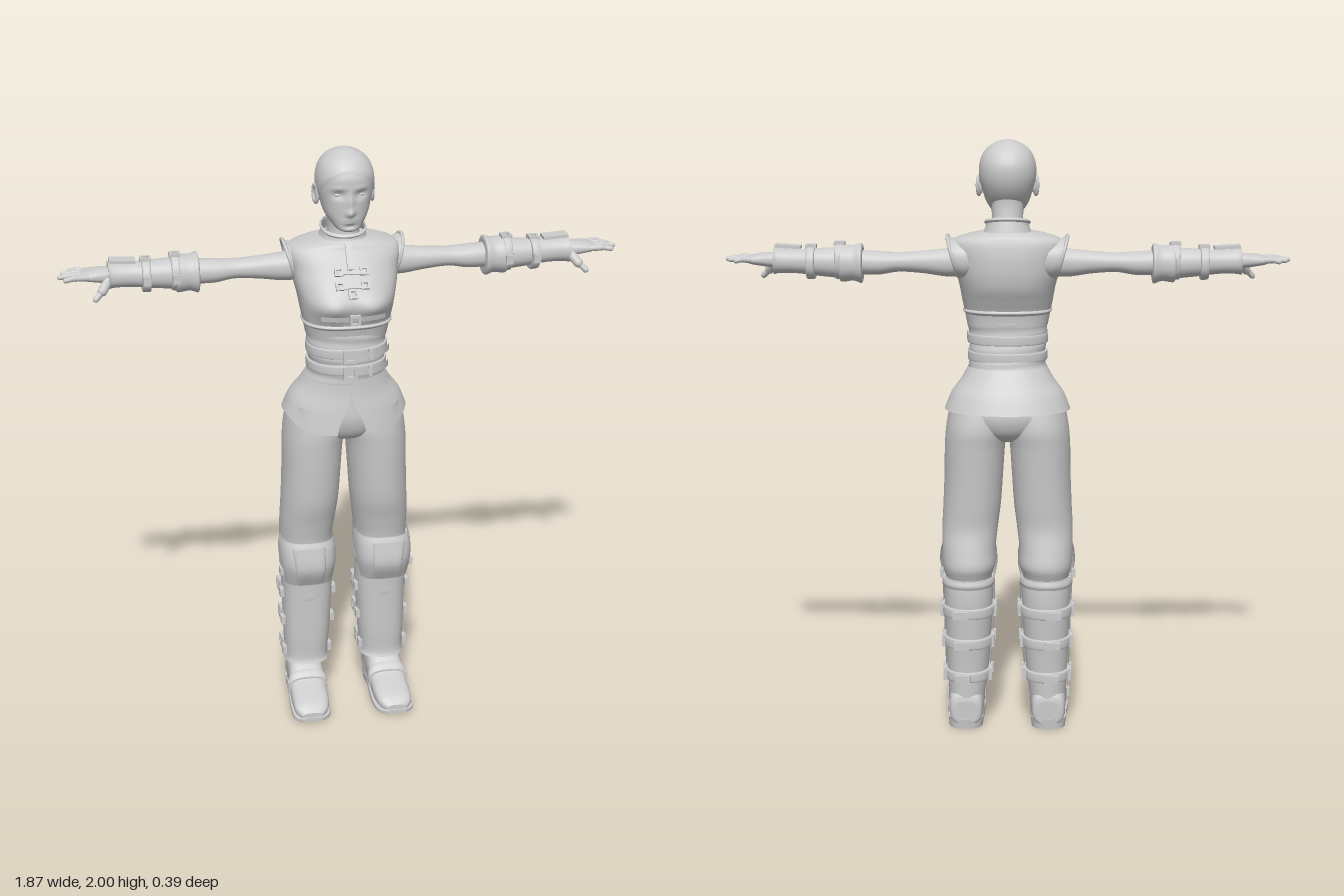
import * as THREE from 'three';
import { mergeVertices } from 'three/addons/utils/BufferGeometryUtils.js';

const grey = new THREE.MeshStandardMaterial({ color: 0xcccccc, side: THREE.DoubleSide });
grey.name = 'plain grey';

const { sin, cos, abs, sign, PI } = Math;
const bump = (x, y, cx, cy, sx, sy, h) => h * Math.exp(-(((x - cx) / sx) ** 2) - ((y - cy) / sy) ** 2);
const smooth = THREE.MathUtils.smoothstep;

// Smooth blend through rows of numbers
function sample(rows, t) {
  const n = rows.length - 1, i = Math.min(Math.floor(t * n), n - 1), f = t * n - i;
  const r = k => rows[Math.max(0, Math.min(n, k))];
  return rows[0].map((_, c) => {
    const [a, b, d, e] = [r(i - 1)[c], r(i)[c], r(i + 1)[c], r(i + 2)[c]];
    return b + 0.5 * f * (d - a + f * (2 * a - 5 * b + 4 * d - e + f * (3 * (b - d) + e - a)));
  });
}

// Skin over oval cross-sections. Row: [position along axis, min1, max1, min2, max2]
// Axis y uses (x, z), axis x uses (z, y), axis z uses (y, x). arc(v) gives an open angle range.
function loft(rows, { axis = 'y', pow = 2.2, seg = 36, steps = 6, arc = null, cap = true, shape = null } = {}) {
  if (rows[0][0] > rows[rows.length - 1][0]) rows = [...rows].reverse();
  const nv = (rows.length - 1) * steps, cols = arc ? seg + 1 : seg, pos = [], idx = [];
  const place = { y: (t, a, b) => [a, t, b], x: (t, a, b) => [t, b, a], z: (t, a, b) => [b, a, t] }[axis];
  const e = 2 / pow;
  for (let i = 0; i <= nv; i++) {
    const v = i / nv, [t, a0, a1, b0, b1] = sample(rows, v);
    const [s0, s1] = arc ? arc(v) : [0, 2 * PI];
    for (let j = 0; j < cols; j++) {
      const q = s0 + (s1 - s0) * j / seg, c = cos(q), s = sin(q);
      const p = place(t, (a0 + a1) / 2 + (a1 - a0) / 2 * sign(c) * abs(c) ** e,
        (b0 + b1) / 2 + (b1 - b0) / 2 * sign(s) * abs(s) ** e);
      pos.push(...(shape ? shape(p, v, q) : p));
    }
  }
  for (let i = 0; i < nv; i++) for (let j = 0; j < seg; j++) {
    const k = (j + 1) % cols, a = i * cols + j, b = i * cols + k;
    idx.push(a, a + cols, b, b, a + cols, b + cols);
  }
  if (cap && !arc) for (const top of [0, 1]) {
    const from = top * nv * cols, base = pos.length / 3, mid = [0, 0, 0];
    for (let j = 0; j < cols; j++) for (let k = 0; k < 3; k++) {
      pos.push(pos[(from + j) * 3 + k]);
      mid[k] += pos[(from + j) * 3 + k] / cols;
    }
    pos.push(...mid);
    for (let j = 0; j < cols; j++) {
      const k = (j + 1) % cols;
      idx.push(base + cols, ...(top ? [base + k, base + j] : [base + j, base + k]));
    }
  }
  const g = new THREE.BufferGeometry();
  g.setAttribute('position', new THREE.Float32BufferAttribute(pos, 3));
  g.setIndex(idx);
  g.computeVertexNormals();
  return g;
}

const box = (w, h, d, x, y, z) => new THREE.BoxGeometry(w, h, d).translate(x, y, z);
const ball = (x, y, z, sx, sy, sz) => new THREE.SphereGeometry(1, 20, 14).scale(sx, sy, sz).translate(x, y, z);

// Square buckle frame facing +z
function buckle(w, h, d = 0.012) {
  const s = new THREE.Shape([[-w, -h], [w, -h], [w, h], [-w, h]].map(p => new THREE.Vector2(p[0] / 2, p[1] / 2)));
  s.holes.push(new THREE.Path([[-w, -h], [-w, h], [w, h], [w, -h]].map(p => new THREE.Vector2(p[0] * 0.28, p[1] * 0.28))));
  return new THREE.ExtrudeGeometry(s, { depth: d, bevelEnabled: false });
}

// Rounded rod between two points
function rod(a, b, r) {
  const A = new THREE.Vector3(...a), B = new THREE.Vector3(...b), d = B.clone().sub(A);
  const q = new THREE.Quaternion().setFromUnitVectors(new THREE.Vector3(0, 1, 0), d.clone().normalize());
  return new THREE.CapsuleGeometry(r, d.length(), 5, 12).applyQuaternion(q).translate(...A.add(B).multiplyScalar(0.5).toArray());
}

function mirrored(geo) {
  const g = (geo.index ? geo.clone() : mergeVertices(geo)).scale(-1, 1, 1), a = g.index.array;
  for (let i = 0; i < a.length; i += 3) [a[i], a[i + 1]] = [a[i + 1], a[i]];
  return g;
}

export function createModel() {
  const root = new THREE.Group();
  root.name = 'figure';
  const add = (name, g) => { const m = new THREE.Mesh(g, grey); m.name = name; root.add(m); };
  const pair = (name, g) => { add('left ' + name, g); add('right ' + name, mirrored(g)); };
  const sym = (y, w, b, f) => [y, -w, w, b, f];

  // Head with nose, eye sockets, lips and close-cropped hair
  const head = [sym(1.742, 0.02, 0.03, 0.075), sym(1.75, 0.038, 0, 0.087), sym(1.77, 0.056, -0.045, 0.089),
    sym(1.80, 0.073, -0.08, 0.09), sym(1.84, 0.084, -0.108, 0.092), sym(1.88, 0.092, -0.121, 0.094),
    sym(1.92, 0.091, -0.121, 0.094), sym(1.955, 0.079, -0.105, 0.077), sym(1.98, 0.056, -0.08, 0.052),
    sym(1.995, 0.027, -0.045, 0.02), sym(2.0, 0.003, -0.016, -0.008)];
  add('head', loft(head, { seg: 72, shape: ([x, y, z]) => {
    if (z > 0.02) z += bump(x, y, 0, 1.808, 0.014, 0.013, 0.016) + bump(x, y, 0, 1.84, 0.01, 0.032, 0.012)
      - bump(abs(x), y, 0.036, 1.868, 0.02, 0.013, 0.011) + bump(x, y, 0, 1.786, 0.02, 0.005, 0.006)
      + bump(x, y, 0, 1.776, 0.016, 0.004, 0.006) - bump(x, y, 0, 1.763, 0.02, 0.006, 0.005)
      + bump(abs(x), y, 0.036, 1.889, 0.025, 0.006, 0.004);
    const hair = 1 + 0.025 * smooth(y - z * 0.9 + abs(x) * 0.2, 1.863, 1.872) * smooth(y, 1.79, 1.81);
    return [x * hair, Math.min(y, 2), z * hair];
  } }));
  pair('eye', ball(0.036, 1.866, 0.068, 0.016, 0.008, 0.011));
  pair('ear', new THREE.TorusGeometry(0.017, 0.006, 8, 20).scale(1, 1.6, 1).rotateY(PI / 2 - 0.3).translate(0.094, 1.85, -0.02));
  pair('ear lobe', ball(0.088, 1.845, -0.018, 0.008, 0.022, 0.013));
  add('neck', loft([sym(1.66, 0.065, -0.11, 0.03), sym(1.72, 0.053, -0.1, 0.02), sym(1.78, 0.052, -0.09, 0.02), sym(1.82, 0.05, -0.09, 0.01)]));
  const lean = ([x, y, z]) => [x, y - z * 0.2 - 0.005, z];
  add('collar', loft([sym(1.685, 0.085, -0.125, 0.055), sym(1.71, 0.074, -0.118, 0.042), sym(1.73, 0.07, -0.112, 0.036)], { cap: false, shape: lean }));
  add('collar rim', loft([sym(1.721, 0.072, -0.114, 0.038), sym(1.728, 0.077, -0.119, 0.043), sym(1.735, 0.071, -0.113, 0.037)], { cap: false, shape: lean }));

  // Sleeveless vest
  const vest = [sym(1.385, 0.135, -0.095, 0.115), sym(1.43, 0.144, -0.1, 0.125), sym(1.47, 0.152, -0.118, 0.138),
    sym(1.515, 0.16, -0.14, 0.148), sym(1.56, 0.17, -0.15, 0.132), sym(1.61, 0.178, -0.152, 0.102),
    sym(1.65, 0.187, -0.148, 0.078), sym(1.675, 0.178, -0.142, 0.062), sym(1.69, 0.14, -0.135, 0.054), sym(1.702, 0.085, -0.12, 0.04)];
  add('vest', loft(vest, { pow: 2.5, seg: 64, shape: ([x, y, z]) =>
    [x, y, z > 0 ? z + bump(abs(x), y, 0.07, 1.505, 0.055, 0.04, 0.022) : z] }));
  add('vest hem', loft([sym(1.425, 0.142, -0.102, 0.13), sym(1.433, 0.15, -0.109, 0.138), sym(1.441, 0.145, -0.106, 0.134)], { pow: 2.5, cap: false }));
  pair('shoulder wing', loft([[0.14, -0.13, 0.02, 1.55, 1.675], [0.17, -0.13, 0.02, 1.545, 1.678], [0.193, -0.128, 0.018, 1.55, 1.69]],
    { axis: 'x', cap: false, shape: ([x, y, z]) => [x + (y - 1.66) * 0.28, y, z] }));
  pair('armhole rim', new THREE.TorusGeometry(0.071, 0.006, 8, 36).rotateY(PI / 2).rotateZ(-0.27).translate(0.18, 1.62, -0.055));

  // Chest fastenings
  add('neck strap', box(0.022, 0.09, 0.008, 0, 0, 0).rotateX(-0.6).translate(0, 1.66, 0.077));
  for (const [y, z] of [[1.615, 0.103], [1.575, 0.128]]) {
    add('clasp bar', box(0.09, 0.012, 0.008, 0, 0, 0).rotateX(-0.55).translate(0, y, z + 0.004));
    pair('clasp', buckle(0.026, 0.026).rotateX(-0.55).translate(0.042, y, z - 0.002));
  }
  add('clasp centre', buckle(0.03, 0.03).rotateX(-0.55).translate(0, 1.55, 0.138));
  add('bust strap', loft([sym(1.466, 0.155, -0.12, 0.152), sym(1.484, 0.157, -0.125, 0.156)],
    { pow: 2.5, arc: () => [0.9, PI - 0.9], shape: ([x, y, z]) => [x, y, z + 0.012] }));
  add('bust buckle', buckle(0.035, 0.035).translate(0, 1.475, 0.17));

  // Wrapped waist and belts
  add('waist wrap', loft([sym(1.225, 0.138, -0.122, 0.108), sym(1.26, 0.128, -0.11, 0.112), sym(1.31, 0.128, -0.098, 0.117),
    sym(1.35, 0.131, -0.094, 0.12), sym(1.4, 0.136, -0.096, 0.12)], { steps: 10, shape: ([x, y, z]) => {
    const k = 1 + 0.012 * sin(y * 150 + x * 8);
    return [x * k, y, z * k];
  } }));
  for (const [y, w, b, f] of [[1.34, 0.136, -0.1, 0.13], [1.282, 0.134, -0.108, 0.126]]) {
    add('belt', loft([sym(y - 0.016, w - 0.005, b + 0.004, f - 0.004), sym(y - 0.013, w, b, f), sym(y + 0.013, w, b, f), sym(y + 0.016, w - 0.005, b + 0.004, f - 0.004)]));
    add('belt tail', loft([sym(y - 0.011, w + 0.006, b, f + 0.016), sym(y + 0.011, w + 0.006, b, f + 0.016)], { arc: () => [0.25, 1.7] }));
    add('belt buckle', buckle(0.045, 0.045).translate(-0.01, y, f + 0.012));
    add('belt loop', box(0.012, 0.036, 0.012, 0.06, y, f + 0.004));
  }

  // Flared skirt of the vest, split at the front
  add('skirt', loft([sym(1.245, 0.132, -0.115, 0.108), sym(1.2, 0.155, -0.14, 0.112), sym(1.15, 0.188, -0.168, 0.122), sym(1.09, 0.211, -0.192, 0.132)],
    { seg: 72, arc: v => { const gap = 0.2 * smooth(1 - v, 0.3, 1) + 0.002; return [PI / 2 + gap, PI * 2.5 - gap]; },
      shape: ([x, y, z], v) => [x, y + (1 - v) * (0.015 - 0.05 * smooth(z, 0.0, 0.13)), z] }));

  // Trousers
  add('hips', loft([sym(1.24, 0.128, -0.11, 0.1), sym(1.16, 0.168, -0.152, 0.105), sym(1.09, 0.19, -0.17, 0.108), sym(1.03, 0.13, -0.15, 0.085), sym(1.0, 0.05, -0.1, 0.03)]));
  pair('trouser leg', loft([[1.14, 0.0, 0.19, -0.15, 0.095], [1.05, -0.002, 0.206, -0.168, 0.104], [0.98, 0.008, 0.212, -0.163, 0.102],
    [0.88, 0.015, 0.214, -0.155, 0.096], [0.78, 0.022, 0.218, -0.148, 0.086], [0.7, 0.032, 0.222, -0.144, 0.066], [0.63, 0.04, 0.222, -0.158, 0.052],
    [0.575, 0.04, 0.22, -0.168, 0.05], [0.54, 0.05, 0.213, -0.158, 0.042], [0.5, 0.06, 0.2, -0.14, 0.03]]));

  // Tall boots with shin plates and straps
  const shin = [[0.53, 0.052, 0.215, -0.157, 0.035], [0.45, 0.05, 0.214, -0.16, 0.03], [0.32, 0.056, 0.21, -0.15, 0.025],
    [0.2, 0.065, 0.206, -0.14, 0.018], [0.1, 0.078, 0.2, -0.138, 0.008], [0.03, 0.078, 0.2, -0.138, 0.0]];
  const grow = (r, d) => [r[0], r[1] - d, r[2] + d, r[3] - d, r[4] + d];
  pair('boot shaft', loft(shin));
  pair('boot cuff', loft([[0.5, 0.046, 0.22, -0.163, 0.04], [0.512, 0.043, 0.223, -0.167, 0.043], [0.526, 0.047, 0.22, -0.163, 0.04]]));
  pair('shin plate', loft([[0.5, 0.042, 0.222, -0.15, 0.042], [0.4, 0.044, 0.218, -0.145, 0.038], [0.25, 0.053, 0.214, -0.135, 0.034],
    [0.17, 0.06, 0.211, -0.13, 0.03], [0.145, 0.056, 0.215, -0.132, 0.036]], { pow: 2.6, arc: () => [0, PI] }));
  pair('knee guard', loft([[0.47, 0.045, 0.221, -0.12, 0.06], [0.54, 0.036, 0.23, -0.13, 0.086], [0.6, 0.036, 0.23, -0.135, 0.082], [0.635, 0.042, 0.222, -0.14, 0.07]],
    { pow: 2.8, arc: v => { const a = 0.45 - 0.5 * smooth(v, 0, 0.6); return [a, PI - a]; } }));
  pair('knee panel', loft([[0.475, 0.085, 0.19, 0.0, 0.064], [0.54, 0.08, 0.19, 0.0, 0.093], [0.62, 0.08, 0.2, 0.0, 0.084]], { pow: 5, arc: () => [0.5, PI - 0.5] }));
  pair('knee stud', box(0.012, 0.028, 0.028, 0.228, 0.515, 0.015));
  for (const [y, k] of [[0.415, 1.27], [0.305, 2.12], [0.185, 3.12]]) {
    const r = sample(shin, k / 5 > 1 ? 1 : 1 - k / 5 < 0 ? 0 : k / 5), ring = (dy, d) => { const q = grow(r, d); q[0] = y + dy; return q; };
    pair('leg strap', loft([ring(-0.017, 0.004), ring(-0.014, 0.01), ring(0.014, 0.01), ring(0.017, 0.004)]));
    for (const [x, s] of [[r[2], 1], [r[1], -1]]) {
      pair('strap stud', box(0.014, 0.03, 0.03, x + s * 0.01, y, -0.02));
      pair('strap buckle', buckle(0.04, 0.042).rotateY(s * PI / 2).translate(x + s * 0.002, y, -0.085));
    }
    pair('strap tail', box(0.05, 0.024, 0.03, r[2] - 0.055, y, r[3] - 0.008));
  }

  // Feet
  pair('foot', loft([[-0.14, 0.02, 0.1, 0.1, 0.18], [-0.125, 0.01, 0.13, 0.085, 0.197], [-0.05, 0.012, 0.16, 0.08, 0.202], [0.005, 0.012, 0.145, 0.08, 0.205],
    [0.06, 0.01, 0.1, 0.08, 0.209], [0.12, 0.008, 0.077, 0.082, 0.21], [0.165, 0.01, 0.058, 0.092, 0.206], [0.19, 0.012, 0.036, 0.115, 0.185]], { axis: 'z', pow: 2.8 }));
  pair('sole', loft([[-0.02, 0.006, 0.026, 0.085, 0.203], [0.04, 0, 0.022, 0.08, 0.21], [0.12, 0, 0.02, 0.078, 0.214], [0.17, 0.002, 0.02, 0.088, 0.21], [0.196, 0.005, 0.02, 0.118, 0.182]], { axis: 'z', pow: 6 }));
  pair('heel', loft([[0, 0.084, 0.2, -0.138, 0], [0.035, 0.08, 0.203, -0.142, 0.005]], { pow: 3 }));
  pair('instep strap', loft([[0.035, 0.02, 0.126, 0.076, 0.212], [0.045, 0.02, 0.121, 0.074, 0.214], [0.06, 0.02, 0.107, 0.076, 0.213]], { axis: 'z', pow: 2.8 }));
  pair('instep buckle', buckle(0.032, 0.03).rotateY(PI / 2).translate(0.204, 0.075, 0.045));

  // Arms
  pair('arm', loft([[0.14, -0.11, 0.0, 1.555, 1.655], [0.2, -0.102, -0.008, 1.552, 1.645], [0.28, -0.096, -0.013, 1.563, 1.637],
    [0.36, -0.098, -0.016, 1.568, 1.632], [0.43, -0.102, -0.01, 1.558, 1.636], [0.52, -0.1, -0.01, 1.56, 1.64]], { axis: 'x' }));
  pair('bracer cuff', loft([[0.478, -0.112, 0.004, 1.54, 1.652], [0.484, -0.123, 0.014, 1.53, 1.662], [0.51, -0.116, 0.008, 1.538, 1.655],
    [0.548, -0.118, 0.01, 1.534, 1.658], [0.555, -0.108, 0.002, 1.545, 1.648]], { axis: 'x' }));
  pair('bracer', loft([[0.54, -0.108, 0.002, 1.545, 1.648], [0.62, -0.105, -0.002, 1.553, 1.645], [0.7, -0.096, -0.008, 1.562, 1.641],
    [0.755, -0.098, -0.006, 1.562, 1.644], [0.772, -0.104, 0.0, 1.558, 1.648]], { axis: 'x' }));
  for (const [x, t] of [[0.555, 1.655], [0.65, 1.645]]) {
    pair('bracer strap', loft([[x - 0.014, -0.106, 0.004, 1.546, t], [x - 0.01, -0.112, 0.01, 1.542, t + 0.006],
      [x + 0.01, -0.111, 0.009, 1.543, t + 0.005], [x + 0.014, -0.105, 0.003, 1.547, t]], { axis: 'x' }));
    pair('bracer buckle', buckle(0.036, 0.04).rotateX(-PI / 2).translate(x, t, -0.05));
    pair('bracer side stud', box(0.024, 0.03, 0.016, x, 1.595, 0.01));
  }
  pair('hand guard', box(0.085, 0.01, 0.05, 0, 0, 0).rotateZ(0.06).translate(0.725, 1.651, -0.052));

  // Hands
  pair('palm', loft([[0.74, -0.085, -0.022, 1.583, 1.628], [0.78, -0.09, -0.012, 1.582, 1.63], [0.82, -0.099, -0.007, 1.588, 1.628],
    [0.85, -0.098, -0.009, 1.594, 1.622], [0.862, -0.09, -0.015, 1.6, 1.618]], { axis: 'x', pow: 2.5 }));
  const fingers = [['index', -0.016, 0.91, -0.004], ['middle', -0.04, 0.927, -0.04], ['ring', -0.064, 0.915, -0.073], ['little', -0.088, 0.892, -0.104]];
  for (const [name, z0, x1, z1] of fingers) {
    const mid = [0.45 * 0.845 + 0.55 * x1, 1.612, (z0 + z1) / 2];
    pair(name + ' finger base', rod([0.84, 1.609, z0], mid, 0.0105));
    pair(name + ' finger tip', rod(mid, [x1, 1.608, z1], 0.0085));
  }
  pair('thumb base', rod([0.77, 1.598, -0.025], [0.795, 1.568, 0.005], 0.016));
  pair('thumb tip', rod([0.795, 1.568, 0.005], [0.818, 1.546, 0.018], 0.01));
  return root;
}
